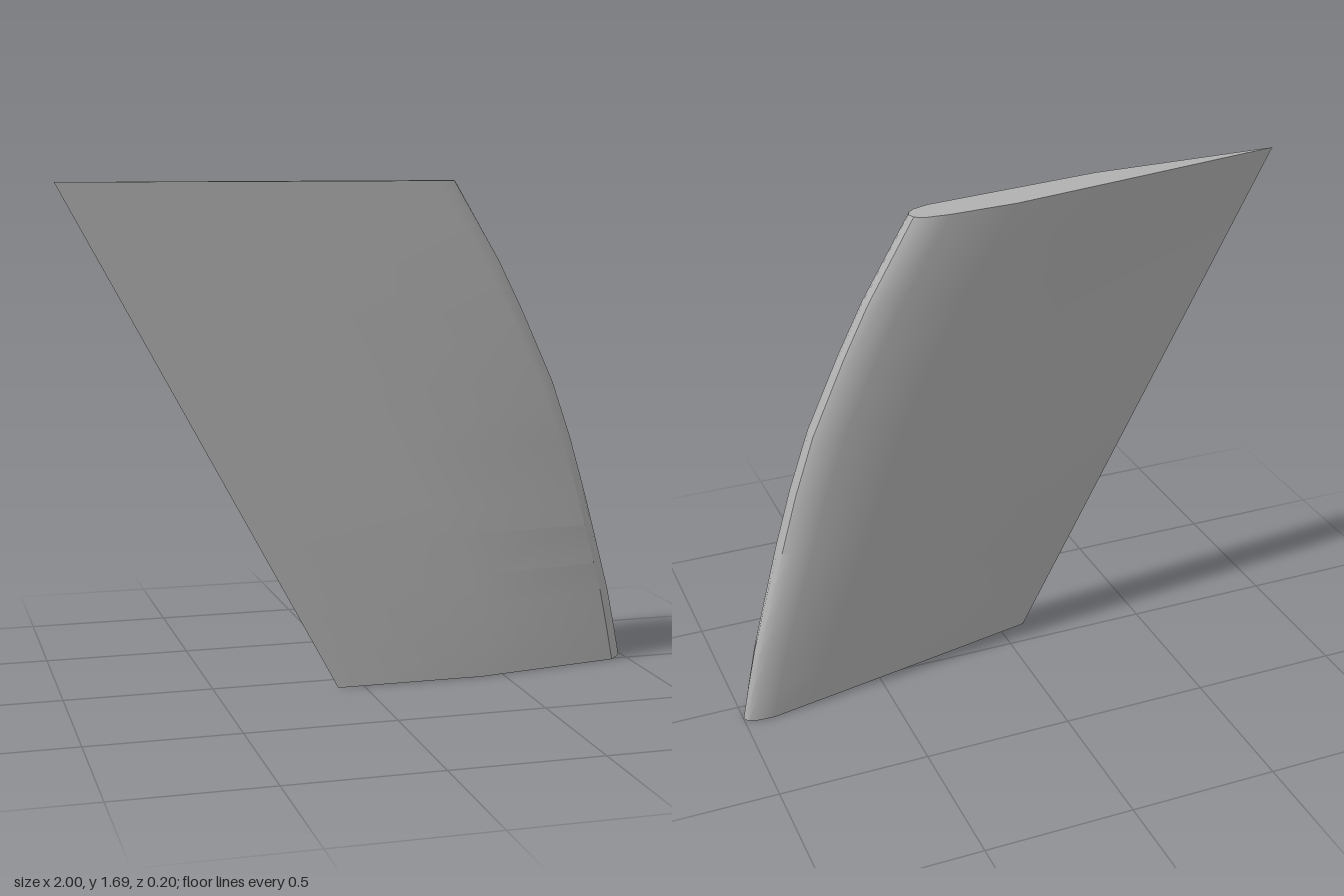
import * as THREE from 'three';
import { toCreasedNormals } from 'three/addons/utils/BufferGeometryUtils.js';

const HEIGHT = 1.69;

// Piecewise linear lookup in rows of [y, value, value, ...]
function lookup(rows, y) {
  let i = 0;
  while (i < rows.length - 2 && y > rows[i + 1][0]) i++;
  const a = rows[i], b = rows[i + 1];
  const t = (y - a[0]) / (b[0] - a[0]);
  return a.slice(1).map((v, k) => THREE.MathUtils.lerp(v, b[k + 1], t));
}

// Leading edge sweep, and the crease where the flat front face ends
const leading = [[0, 1], [0.22, 0.95], [0.43, 0.887], [0.6, 0.835], [0.8, 0.778], [1, 0.71], [1.25, 0.597], [1.42, 0.512], [HEIGHT, 0.352]];
const crease = [[0, 0.42], [0.25, 0.42], [0.36, 0.37], [0.5, 0.3], [HEIGHT, -0.34]];

// Rounded nose and back: x behind the leading edge, then z, from front to back
const nose = [
  [0, 0.06, 0.012, 0.03, -0.02, 0.01, -0.045, 0, -0.07, 0.012, -0.087, 0.04, -0.097, 0.1, -0.1, 0.25, -0.07, 0.6, 0.0],
  [0.6, 0.05, 0.052, 0.018, 0.025, 0.004, 0.0, 0, -0.03, 0.008, -0.058, 0.035, -0.078, 0.1, -0.09, 0.3, -0.068, 0.72, 0.005],
  [HEIGHT, 0.085, 0.032, 0.03, 0.012, 0.008, -0.01, 0, -0.03, 0.008, -0.055, 0.035, -0.072, 0.12, -0.077, 0.35, -0.065, 0.75, 0.0],
];

// One closed cross-section as [x, z] points
function section(y) {
  const [lead] = lookup(leading, y);
  const [fold] = lookup(crease, y);
  const points = [[-0.09 - 0.91 * y / HEIGHT, 0.1], [fold, 0.1]];
  const n = lookup(nose, y);
  for (let i = 0; i < n.length; i += 2) points.push([lead - n[i], n[i + 1]]);
  return points;
}

// Skin between the cross-sections, with a cap at each end
function loft(levels) {
  const positions = [], index = [];
  const sections = levels.map(section);
  const count = sections[0].length;
  sections.forEach((s, j) => s.forEach(([x, z]) => positions.push(x, levels[j], z)));
  for (let j = 0; j < levels.length - 1; j++) {
    for (let i = 0; i < count; i++) {
      const k = (i + 1) % count;
      const a = j * count + i, b = j * count + k;
      index.push(a, b, b + count, a, b + count, a + count);
    }
  }
  [0, levels.length - 1].forEach((j) => {
    const outline = sections[j].map(([x, z]) => new THREE.Vector2(x, -z));
    THREE.ShapeUtils.triangulateShape(outline, []).forEach(([a, b, c]) => {
      const o = j * count;
      if (j === 0) index.push(o + a, o + c, o + b);
      else index.push(o + a, o + b, o + c);
    });
  });
  const geometry = new THREE.BufferGeometry();
  geometry.setAttribute('position', new THREE.Float32BufferAttribute(positions, 3));
  geometry.setIndex(index);
  return toCreasedNormals(geometry, 0.6);
}

export function createModel() {
  const grey = new THREE.MeshStandardMaterial({ color: 0xb0b0b0 });
  grey.name = 'grey';

  const levels = [0, 0.12, 0.25, 0.36, 0.5, 0.6, 0.8, 1, 1.25, 1.42, HEIGHT];
  const blade = new THREE.Mesh(loft(levels), grey);
  blade.name = 'sweptBlade';

  const model = new THREE.Group();
  model.name = 'sweptWingSection';
  model.add(blade);
  return model;
}
